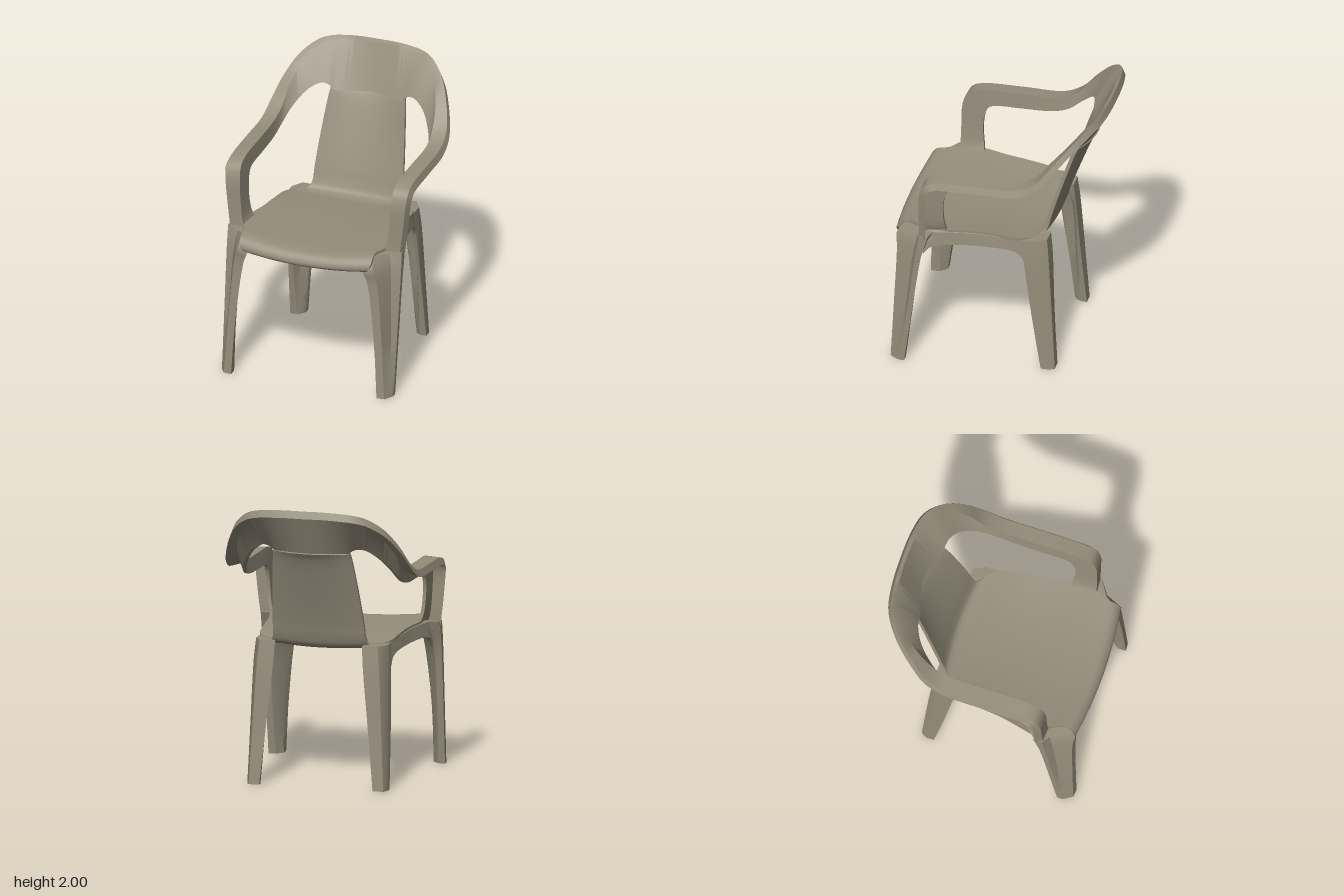
import * as THREE from 'three';
import { toCreasedNormals } from 'three/addons/utils/BufferGeometryUtils.js';

const V = (x, y, z) => new THREE.Vector3(x, y, z);
const mirror = (section) => section.map((p) => V(-p.x, p.y, p.z));

// Closed skin through cross-section loops, smoothed along its length and capped
function loft(sections, steps = 4, crease = 0.6) {
  const n = sections[0].length;
  const total = (sections.length - 1) * steps;
  const curves = sections[0].map((_, i) => new THREE.CatmullRomCurve3(sections.map((s) => s[i])));
  const pts = [];
  for (let j = 0; j <= total; j++) for (const c of curves) pts.push(c.getPoint(j / total));
  const index = [];
  const quad = (a, b, c, d) => index.push(a, b, c, a, c, d);
  for (let j = 0; j < total; j++) {
    for (let i = 0; i < n; i++) {
      const k = (i + 1) % n;
      quad(j * n + i, j * n + k, (j + 1) * n + k, (j + 1) * n + i);
    }
  }
  for (let i = 0; i < Math.floor((n - 1) / 2); i++) {
    const e = total * n;
    quad(i, n - 1 - i, n - 2 - i, i + 1);
    quad(e + i, e + i + 1, e + n - 2 - i, e + n - 1 - i);
  }
  // Turn the faces outward if the loops ran the other way
  let volume = 0;
  for (let i = 0; i < index.length; i += 3) {
    volume += pts[index[i]].dot(pts[index[i + 1]].clone().cross(pts[index[i + 2]]));
  }
  if (volume < 0) index.reverse();
  const geo = new THREE.BufferGeometry().setFromPoints(pts);
  geo.setIndex(index);
  return toCreasedNormals(geo, crease);
}

// Rows: outer rim xyz, inner top xyz, opening edge xyz, outward x z, skirt turn (0 down, 1 rearward)
const backRows = [
  [0, 2, -0.72, 0, 1.985, -0.695, 0, 1.66, -0.57, 0, -1, 0],
  [0.14, 2, -0.717, 0.14, 1.985, -0.69, 0.13, 1.66, -0.55, 0.1, -1, 0],
  [0.26, 1.993, -0.705, 0.25, 1.975, -0.68, 0.245, 1.665, -0.507, 0.25, -0.97, 0],
  [0.34, 1.983, -0.688, 0.32, 1.96, -0.66, 0.285, 1.7, -0.503, 0.4, -0.92, 0],
  [0.42, 1.957, -0.65, 0.39, 1.93, -0.615, 0.34, 1.71, -0.492, 0.5, -0.87, 0],
  [0.525, 1.87, -0.56, 0.475, 1.84, -0.53, 0.425, 1.66, -0.445, 0.75, -0.65, 0],
  [0.602, 1.735, -0.445, 0.535, 1.71, -0.41, 0.5, 1.56, -0.355, 0.9, -0.4, 0],
  [0.647, 1.6, -0.335, 0.55, 1.59, -0.31, 0.54, 1.465, -0.26, 0.97, -0.2, 0],
];
const armRows = [
  [0.66, 1.525, -0.2, 0.56, 1.53, -0.19, 0.55, 1.42, -0.15, 1, 0, 0],
  [0.665, 1.51, 0.1, 0.56, 1.515, 0.1, 0.55, 1.405, 0.1, 1, 0, 0],
  [0.665, 1.495, 0.38, 0.56, 1.505, 0.37, 0.55, 1.4, 0.24, 1, 0, 0],
  [0.667, 1.46, 0.46, 0.56, 1.465, 0.465, 0.55, 1.38, 0.31, 1, 0, 0.5],
  [0.662, 1.38, 0.495, 0.555, 1.38, 0.5, 0.548, 1.3, 0.345, 1, 0, 1],
  [0.645, 1.2, 0.502, 0.545, 1.2, 0.507, 0.54, 1.17, 0.35, 1, 0, 1],
  [0.63, 1.07, 0.505, 0.53, 1.07, 0.51, 0.525, 1.08, 0.34, 1, 0, 1],
  [0.618, 0.98, 0.51, 0.5, 0.98, 0.52, 0.49, 1.01, 0.33, 1, 0, 1],
];

function railSection(r) {
  const rim = V(r[0], r[1], r[2]);
  const inner = V(r[3], r[4], r[5]);
  const edge = V(r[6], r[7], r[8]);
  const out = V(r[9], 0, r[10]);
  const skirt = V(0, r[11] - 1, -r[11]).normalize();
  return [
    rim.clone().addScaledVector(out, 0.02).addScaledVector(skirt, 0.05),
    rim, inner, edge,
    edge.clone().addScaledVector(out, 0.024),
    inner.clone().addScaledVector(out, 0.03).addScaledVector(skirt, 0.03),
  ];
}

// Seat and back sheet stations: half width, edge y z, centre y z
const sheetRows = [
  [0.44, 0.925, 0.67, 0.9, 0.695],
  [0.46, 0.945, 0.7, 0.925, 0.733],
  [0.48, 0.985, 0.7, 0.96, 0.73],
  [0.485, 1.03, 0.665, 0.998, 0.695],
  [0.485, 1.048, 0.6, 1.01, 0.63],
  [0.52, 1.05, 0.52, 1.012, 0.54],
  [0.54, 1.05, 0.35, 1.01, 0.35],
  [0.505, 1.045, 0.17, 1.003, 0.17],
  [0.488, 1.035, 0, 0.995, 0],
  [0.468, 1.015, -0.17, 0.985, -0.17],
  [0.41, 1.003, -0.24, 0.98, -0.265],
  [0.345, 1.015, -0.29, 1.0, -0.315],
  [0.33, 1.06, -0.312, 1.06, -0.342],
  [0.325, 1.15, -0.335, 1.15, -0.37],
  [0.305, 1.4, -0.41, 1.4, -0.46],
  [0.28, 1.64, -0.49, 1.64, -0.557],
  [0.272, 1.69, -0.512, 1.69, -0.59],
];

function sheetSection([w, ye, ze, yc, zc], i) {
  const a = sheetRows[Math.max(i - 1, 0)];
  const b = sheetRows[Math.min(i + 1, sheetRows.length - 1)];
  const under = V(0, b[4] - a[4], a[3] - b[3]).normalize().multiplyScalar(0.025);
  const top = [];
  for (let k = -5; k <= 5; k++) {
    const t = k / 5;
    top.push(V(w * t, yc + (ye - yc) * t * t, zc + (ze - zc) * t * t));
  }
  return [...top, ...top.map((p) => p.clone().add(under)).reverse()];
}

// Leg sections: height, then x z pairs around the folded profile
const frontLegRows = [
  [1.03, 0.638, 0.44, 0.638, 0.505, 0.55, 0.52, 0.478, 0.645, 0.43, 0.645, 0.44, 0.5, 0.53, 0.42],
  [0.95, 0.64, 0.465, 0.64, 0.515, 0.57, 0.54, 0.5, 0.695, 0.42, 0.695, 0.44, 0.57, 0.56, 0.46],
  [0.85, 0.64, 0.49, 0.64, 0.53, 0.58, 0.56, 0.525, 0.687, 0.455, 0.69, 0.49, 0.6, 0.58, 0.5],
  [0.4, 0.635, 0.555, 0.635, 0.59, 0.6, 0.61, 0.565, 0.7, 0.51, 0.705, 0.53, 0.63, 0.59, 0.56],
  [0, 0.63, 0.61, 0.63, 0.645, 0.625, 0.66, 0.59, 0.715, 0.535, 0.72, 0.535, 0.66, 0.58, 0.61],
];
const rearLegRows = [
  [1.0, 0.467, -0.17, 0.468, -0.27, 0.42, -0.35, 0.31, -0.35, 0.32, -0.29, 0.36, -0.25, 0.43, -0.18],
  [0.85, 0.475, -0.195, 0.48, -0.29, 0.435, -0.365, 0.32, -0.365, 0.34, -0.335, 0.405, -0.305, 0.445, -0.21],
  [0.4, 0.49, -0.26, 0.49, -0.34, 0.46, -0.395, 0.365, -0.39, 0.375, -0.36, 0.43, -0.335, 0.46, -0.27],
  [0, 0.5, -0.325, 0.5, -0.38, 0.48, -0.42, 0.405, -0.42, 0.405, -0.385, 0.42, -0.35, 0.45, -0.325],
];
function legSection([y, ...xz]) {
  const pts = [];
  for (let i = 0; i < xz.length; i += 2) pts.push(V(xz[i], y, xz[i + 1]));
  return pts;
}

// Side apron stations: z, x, top y, bottom y
const apronRows = [
  [0.49, 0.57, 1.03, 0.85], [0.44, 0.565, 1.04, 0.91], [0.33, 0.545, 1.045, 0.935],
  [0.17, 0.51, 1.04, 0.935], [0, 0.49, 1.03, 0.93], [-0.1, 0.478, 1.02, 0.918],
  [-0.16, 0.469, 1.01, 0.892], [-0.2, 0.466, 0.995, 0.835], [-0.24, 0.465, 0.985, 0.76],
];
const apronSection = ([z, x, top, bottom]) => [
  V(x - 0.025, top, z), V(x, top - 0.015, z), V(x + 0.01, bottom, z), V(x - 0.018, bottom, z),
];

export function createModel() {
  const chair = new THREE.Group();
  chair.name = 'chair';
  const plastic = new THREE.MeshStandardMaterial({ color: 0x958d7b });
  plastic.name = 'taupe plastic';
  const add = (name, geometry) => {
    const mesh = new THREE.Mesh(geometry, plastic);
    mesh.name = name;
    chair.add(mesh);
  };

  // Seat with rolled front lip, sweeping up into the back panel
  add('seatAndBackPanel', loft(sheetRows.map(sheetSection)));

  // One continuous rail: post, arm, back top, arm, post
  const half = [...backRows, ...armRows].map(railSection);
  const otherHalf = half.slice(1).reverse().map(mirror);
  add('armsAndBackRail', loft([...otherHalf, ...half]));

  // Mirrored legs and aprons
  const pairs = {
    FrontLeg: frontLegRows.map(legSection),
    RearLeg: rearLegRows.map(legSection),
    SideApron: apronRows.map(apronSection),
  };
  for (const [name, sections] of Object.entries(pairs)) {
    add('left' + name, loft(sections));
    add('right' + name, loft(sections.map(mirror)));
  }
  return chair;
}
